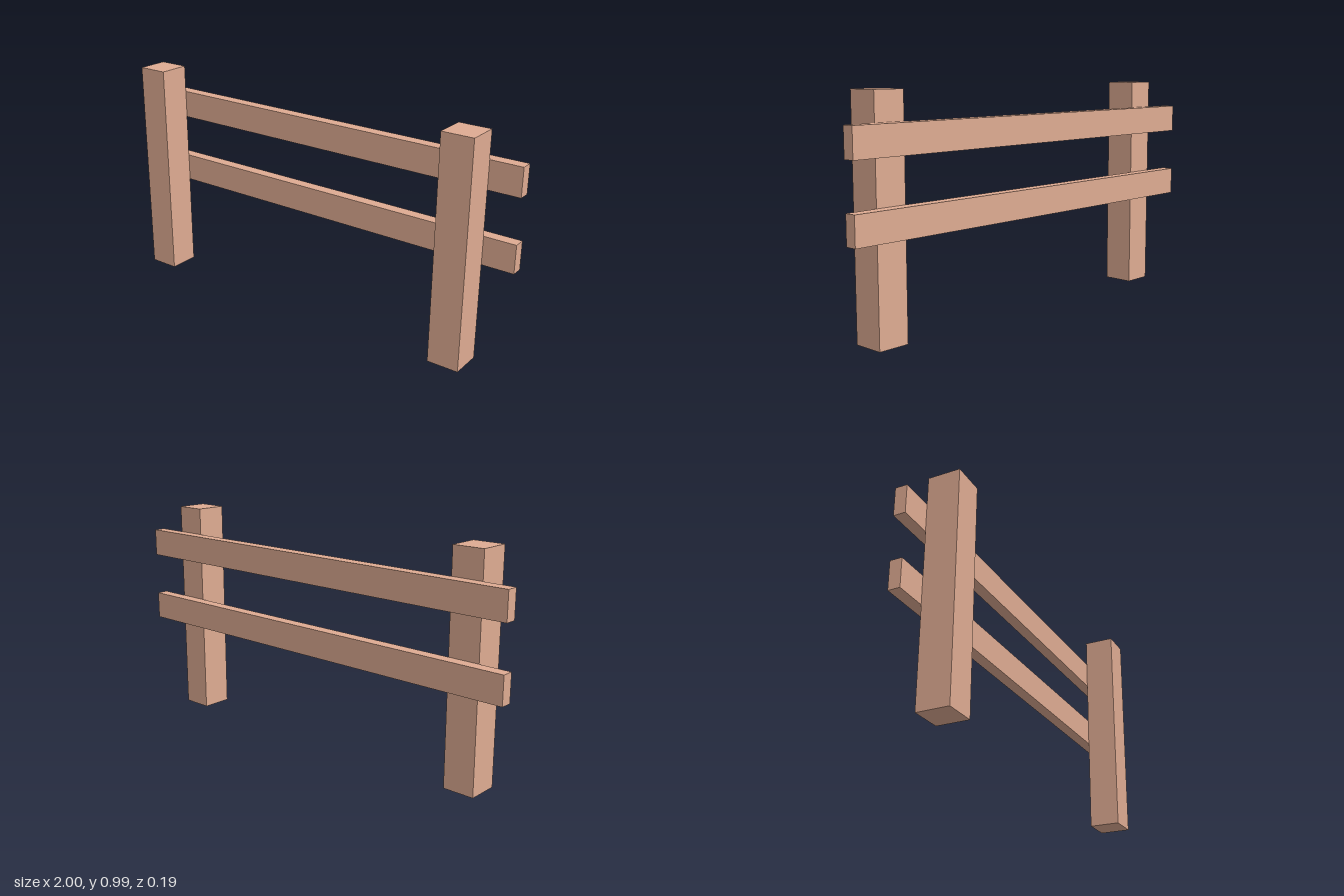
import * as THREE from 'three';

export function createModel() {
  const group = new THREE.Group();
  const wood = new THREE.MeshStandardMaterial({ color: 0xdeab92, flatShading: true });

  const addBox = (name, size, position) => {
    const mesh = new THREE.Mesh(new THREE.BoxGeometry(...size), wood);
    mesh.name = name;
    mesh.position.set(...position);
    group.add(mesh);
  };

  // Square posts standing on the ground
  const postHeight = 0.99, postWidth = 0.14;
  for (const [name, side] of [['leftPost', 1], ['rightPost', -1]]) {
    addBox(name, [postWidth, postHeight, postWidth], [side * 0.79, postHeight / 2, 0.026]);
  }

  // Horizontal rails fixed to the back of the posts
  for (const [name, y] of [['lowerRail', 0.488], ['upperRail', 0.806]]) {
    addBox(name, [2, 0.124, 0.052], [0, y, -0.07]);
  }

  return group;
}
